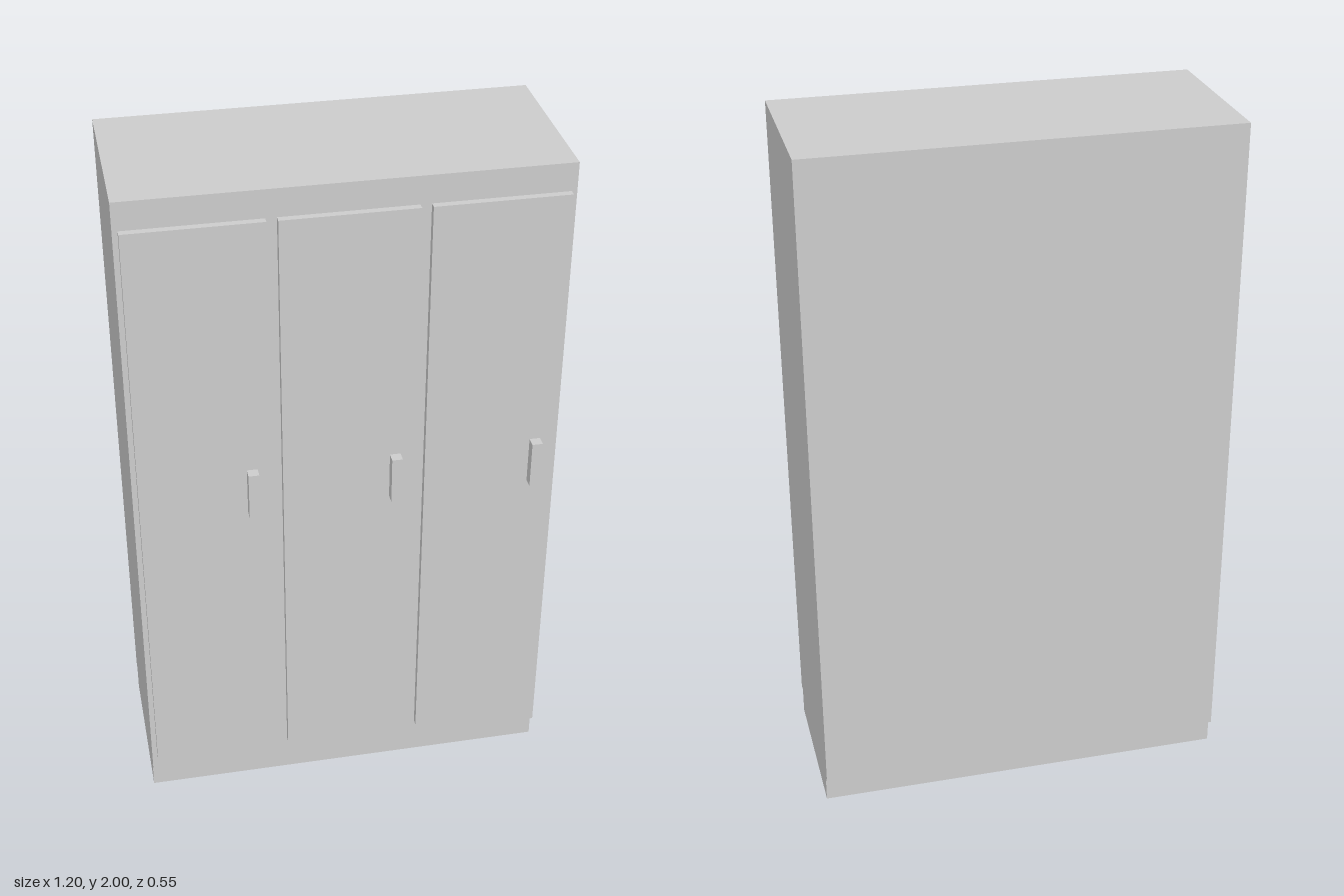
import * as THREE from 'three';

const material = new THREE.MeshStandardMaterial({ color: 0xcccccc, flatShading: true });

// Box given by its size, centre x, bottom y and back z
function box(name, w, h, d, x, y, z) {
  const mesh = new THREE.Mesh(new THREE.BoxGeometry(w, h, d), material);
  mesh.name = name;
  mesh.position.set(x, y + h / 2, z + d / 2);
  return mesh;
}

export function createModel() {
  const model = new THREE.Group();
  model.name = 'wardrobe';

  // Recessed plinth under the cabinet body
  model.add(box('plinth', 1.2, 0.08, 0.455, 0, 0, -0.253));
  model.add(box('cabinetBody', 1.2, 1.92, 0.5, 0, 0.08, -0.275));

  // Three doors, each with a pull handle near its +x edge
  ['right', 'middle', 'left'].forEach((side, i) => {
    const x = (i - 1) * 0.4;
    const door = new THREE.Group();
    door.name = side + 'Door';
    door.add(box(side + 'DoorPanel', 0.37, 1.78, 0.02, x, 0.14, 0.225));
    door.add(box(side + 'DoorHandle', 0.03, 0.14, 0.03, x + 0.13, 1.03, 0.245));
    model.add(door);
  });

  return model;
}
